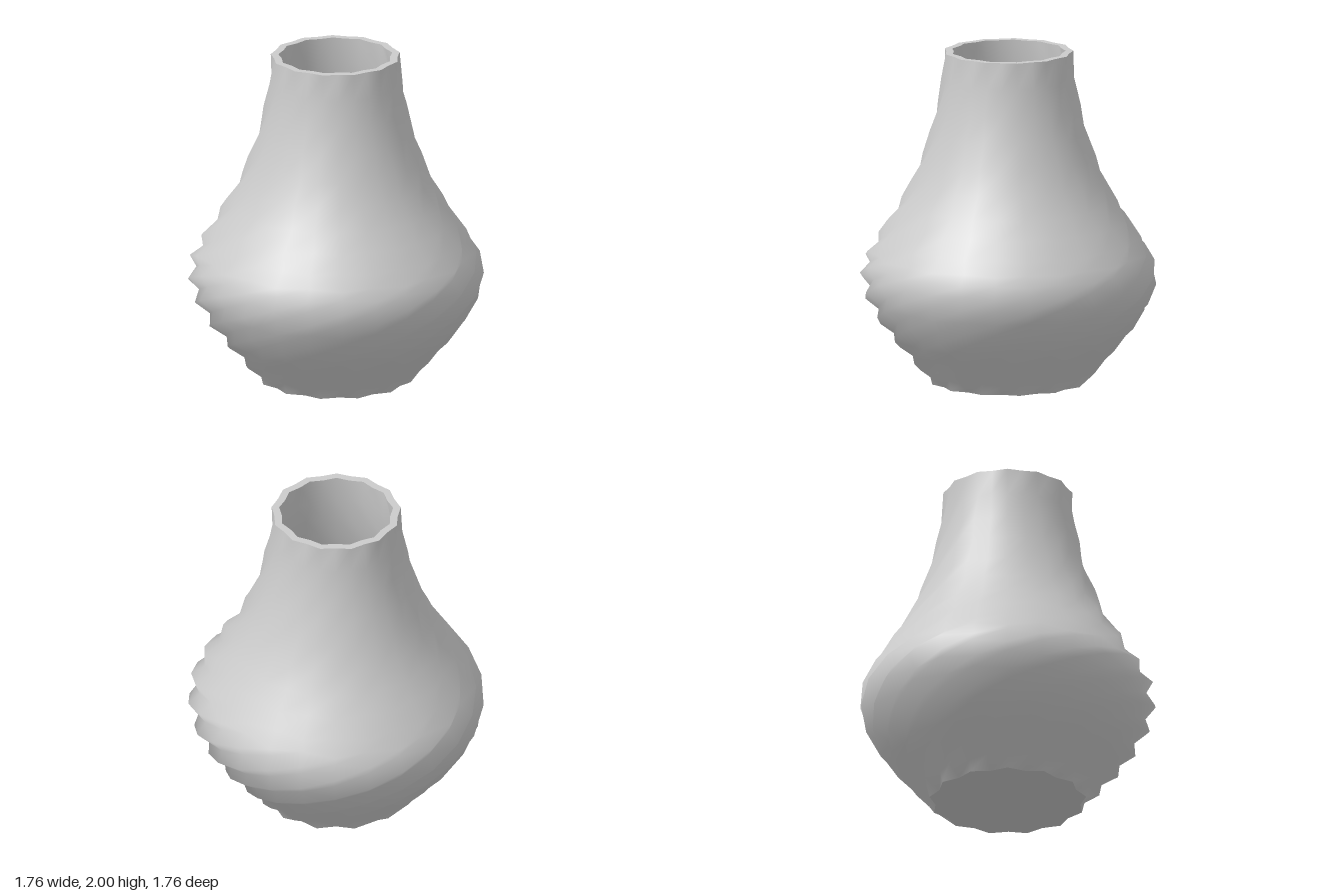
import * as THREE from 'three';

const RIBS = 13, SIDES = RIBS * 2, STEP = Math.PI * 2 / SIDES;
const PHASE = 7 * Math.PI / 180;   // angle of one ridge at the rim
const WALL = 0.045;

// Rings from foot to rim: [height, ridge radius]
const PROFILE = [
  [0, 0.47], [0.065, 0.525], [0.13, 0.58], [0.2, 0.64], [0.27, 0.7], [0.345, 0.76],
  [0.425, 0.81], [0.5, 0.85], [0.58, 0.88], [0.66, 0.885], [0.73, 0.87], [0.79, 0.84],
  [0.87, 0.79], [0.98, 0.72], [1.09, 0.65], [1.22, 0.58], [1.36, 0.522], [1.52, 0.468],
  [1.675, 0.43], [1.84, 0.4], [2, 0.387],
];
const LAST = PROFILE.length - 1;

// One fluted ring; each ring turns half a rib further than the one below
function ring(i, inset = 0, y = PROFILE[i][0]) {
  const crest = PROFILE[i][1];
  const valley = crest * THREE.MathUtils.lerp(0.925, 0.955, i / LAST);
  return Array.from({ length: SIDES }, (_, j) => {
    const a = PHASE + (j + i - LAST) * STEP;
    const r = (j % 2 ? valley : crest) - inset;
    return new THREE.Vector3(r * Math.sin(a), y, r * Math.cos(a));
  });
}

// Skin a stack of rings, optionally closing the first one with a flat fan
function skin(rings, flip = false) {
  const index = [];
  const tri = (a, b, c) => (flip ? index.push(a, c, b) : index.push(a, b, c));
  for (let i = 0; i < rings.length - 1; i++) {
    for (let j = 0; j < SIDES; j++) {
      const k = (j + 1) % SIDES, lo = i * SIDES, hi = lo + SIDES;
      tri(lo + j, lo + k, hi + j);
      tri(lo + k, hi + k, hi + j);
    }
  }
  const geo = new THREE.BufferGeometry().setFromPoints(rings.flat());
  geo.setIndex(index);
  geo.computeVertexNormals();
  return geo;
}

// Flat disc filling a ring
function disc(points, up) {
  const index = [];
  for (let j = 0; j < SIDES; j++) {
    const k = (j + 1) % SIDES;
    index.push(SIDES, up ? j : k, up ? k : j);
  }
  const centre = new THREE.Vector3(0, points[0].y, 0);
  const geo = new THREE.BufferGeometry().setFromPoints([...points, centre]);
  geo.setIndex(index);
  geo.computeVertexNormals();
  return geo;
}

export function createModel() {
  const group = new THREE.Group();
  group.name = 'twistedVase';
  const material = new THREE.MeshStandardMaterial({ color: 0xcccccc });
  const add = (name, geometry) => {
    const mesh = new THREE.Mesh(geometry, material);
    mesh.name = name;
    group.add(mesh);
  };

  // Fluted outer body
  const outer = PROFILE.map((_, i) => ring(i));
  add('outerWall', skin(outer));

  // Hollow inside, following the outer wall
  const inner = PROFILE.map((_, i) => ring(i, WALL)).slice(1);
  add('innerWall', skin(inner, true));
  add('innerFloor', disc(inner[0], true));

  // Flat lip joining both walls, and the foot
  add('rim', skin([outer[LAST], ring(LAST, WALL)]));
  add('base', disc(outer[0], false));
  return group;
}
